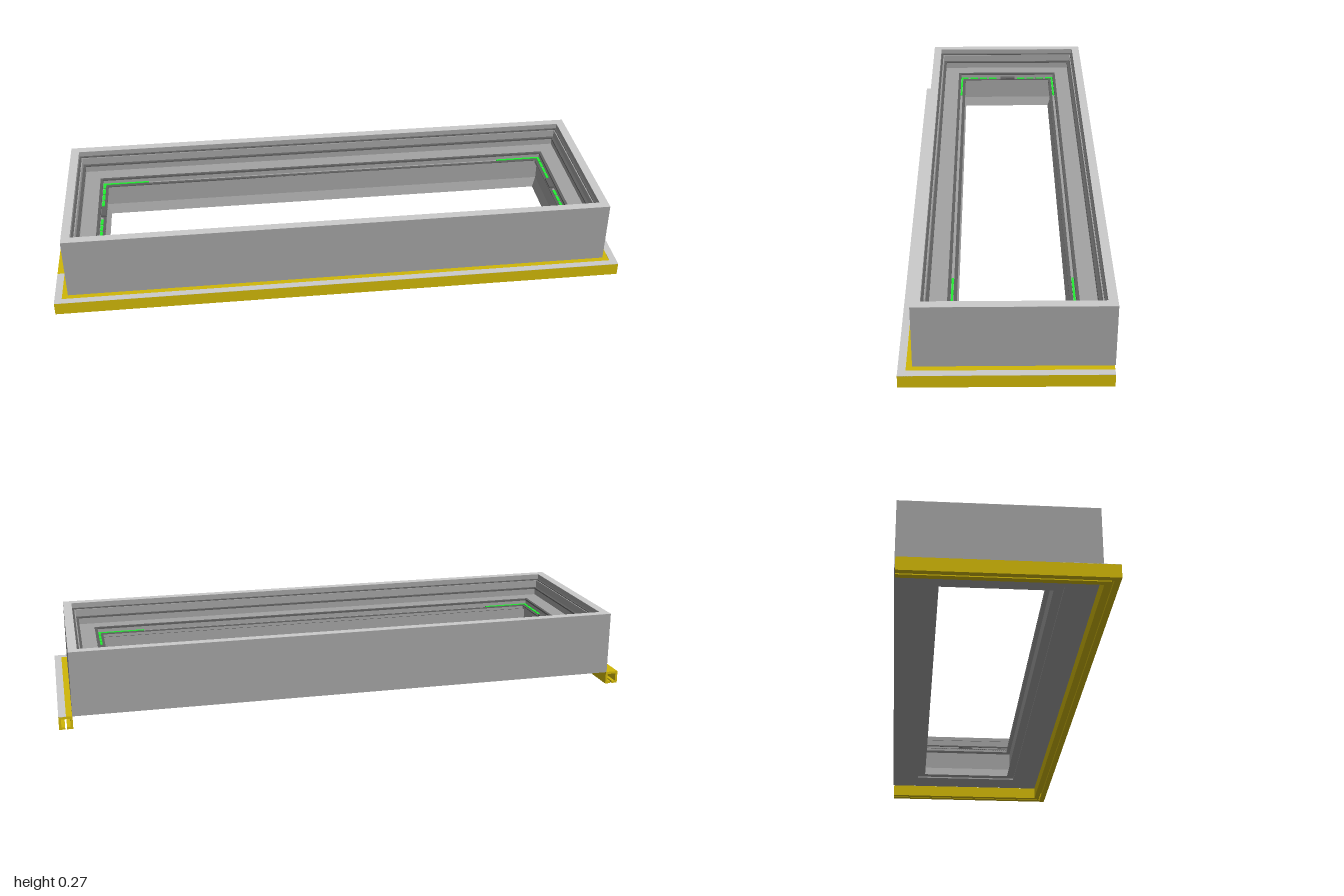
import * as THREE from 'three';

const material = (color) => new THREE.MeshStandardMaterial({ color, flatShading: true });
const lightGrey = material(0xcccccc);
const grey = material(0xa3a3a3);
const darkGrey = material(0x606060);
const yellow = material(0xd0b707);
const green = material(0x22ee33);

// Sweep a counter-clockwise (inset, height) profile along a mitred path.
// corners(inset) gives the [x, z] path points, counter-clockwise seen from above.
function sweep(profile, corners, closed) {
  const pos = [];
  const point = (j, i) => {
    const [d, y] = profile[j % profile.length];
    const path = corners(d);
    const [x, z] = path[i % path.length];
    return [x, y, z];
  };
  const n = corners(0).length;
  const spans = closed ? n : n - 1;
  for (let i = 0; i < spans; i++) {
    for (let j = 0; j < profile.length; j++) {
      const a = point(j, i), b = point(j + 1, i), c = point(j + 1, i + 1), d = point(j, i + 1);
      pos.push(...a, ...b, ...c, ...a, ...c, ...d);
    }
  }
  // End caps of an open sweep
  if (!closed) {
    const outline = profile.map(([d, y]) => new THREE.Vector2(d, y));
    for (const [a, b, c] of THREE.ShapeUtils.triangulateShape(outline, [])) {
      pos.push(...point(c, 0), ...point(b, 0), ...point(a, 0));
      pos.push(...point(a, n - 1), ...point(b, n - 1), ...point(c, n - 1));
    }
  }
  const geo = new THREE.BufferGeometry();
  geo.setAttribute('position', new THREE.Float32BufferAttribute(pos, 3));
  geo.computeVertexNormals();
  return geo;
}

// Rectangular profile between two insets and two heights
const strip = (d0, d1, y0, y1) => [[d0, y0], [d1, y0], [d1, y1], [d0, y1]];

export function createModel() {
  const model = new THREE.Group();
  const add = (name, geo, mat) => {
    const mesh = new THREE.Mesh(geo, mat);
    mesh.name = name;
    model.add(mesh);
    return mesh;
  };
  // Box given by its limits on each axis
  const box = (name, mat, [x0, x1], [y0, y1], [z0, z1]) =>
    add(name, new THREE.BoxGeometry(Math.abs(x1 - x0), y1 - y0, z1 - z0), mat)
      .position.set((x0 + x1) / 2, (y0 + y1) / 2, (z0 + z1) / 2);

  // Deep rectangular frame with a stepped inner section
  const HX = 0.955, HZ = 0.311, CZ = -0.022;
  const ring = (d) => [
    [d - HX, CZ - HZ + d], [d - HX, CZ + HZ - d],
    [HX - d, CZ + HZ - d], [HX - d, CZ - HZ + d],
  ];
  const frameProfile = [
    [0, 0.045], [0.105, 0.045], [0.105, 0.05], [0.135, 0.05], [0.122, 0.085],
    [0.122, 0.155], [0.135, 0.16], [0.135, 0.17], [0.115, 0.17], [0.115, 0.19],
    [0.05, 0.19], [0.05, 0.215], [0.042, 0.215], [0.042, 0.245],
    [0.03, 0.245], [0.03, 0.2665], [0, 0.2665],
  ];
  add('frame', sweep(frameProfile, ring, true), grey);
  add('rim', sweep(strip(0, 0.03, 0.2664, 0.267), ring, true), lightGrey);

  // Dark seals on the steps of the frame
  add('upperSeal', sweep(strip(0.03, 0.038, 0.245, 0.248), ring, true), darkGrey);
  add('middleSeal', sweep(strip(0.042, 0.052, 0.213, 0.218), ring, true), darkGrey);
  add('ledgeSeal', sweep(strip(0.106, 0.116, 0.186, 0.192), ring, true), darkGrey);
  add('innerSeal', sweep(strip(0.124, 0.135, 0.168, 0.172), ring, true), darkGrey);

  // Hollow edge trim, slotted underneath, around the front and both ends
  const trimProfile = [
    [0, 0], [0.02, 0], [0.02, 0.008], [0.008, 0.008], [0.008, 0.036], [0.038, 0.036],
    [0.038, 0.008], [0.026, 0.008], [0.026, 0], [0.046, 0], [0.046, 0.0445], [0, 0.0445],
  ];
  const sides = (back) => (d) => [
    [d - 1, back], [d - 1, 0.333 - d], [1 - d, 0.333 - d], [1 - d, -0.33],
  ];
  add('edgeTrim', sweep(trimProfile, sides(-0.33), false), yellow);

  // Thin cover strip on the outer edge of the trim
  add('trimCover', sweep(strip(0, 0.025, 0.044, 0.0452), sides(0.16), false), lightGrey);

  // Green marker strips on the inner ledge: dashes along the ends, bars at the corners
  const level = [0.169, 0.174];
  for (const s of [-1, 1]) {
    for (let i = 0; i < 10; i++) {
      const z = -0.217 + i * 0.04;
      if (i === 4 || i === 5) continue;
      box('endMarker', green, [s * 0.829, s * 0.839], level, [z, z + 0.031]);
    }
    box('sideMarkerBack', green, [s * 0.67, s * 0.829], level, [-0.217, -0.21]);
    box('sideMarkerFront', green, [s * 0.67, s * 0.829], level, [0.166, 0.173]);
    box('latch', darkGrey, [s * 0.822, s * 0.839], [0.169, 0.178], [-0.055, 0.005]);
  }
  return model;
}
